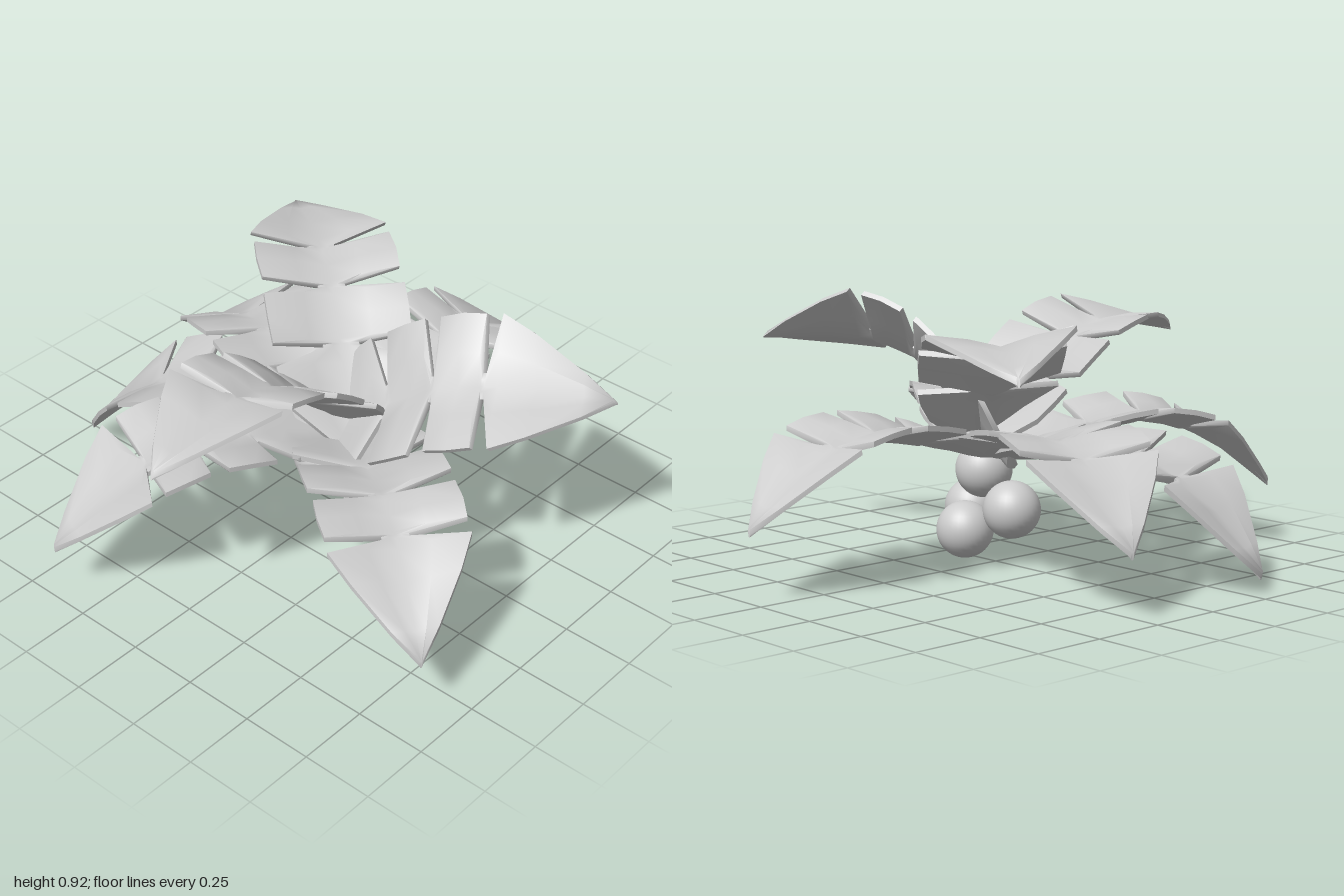
import * as THREE from 'three';
import { toCreasedNormals } from 'three/addons/utils/BufferGeometryUtils.js';

const TIP = new THREE.Vector2(1.04, -0.12); // local leaf tip (length, height)

// Stations along one leaf: spine distance, edge distance, half width, spine height.
// Narrow pairs are the notches.
const STATIONS = [
  [0, 0, 0.05, 0], [0.12, 0.12, 0.19, 0.03], [0.2, 0.19, 0.22, 0.055], [0.27, 0.25, 0.23, 0.072],
  [0.325, 0.32, 0.06, 0.088], [0.335, 0.33, 0.06, 0.088], [0.35, 0.328, 0.23, 0.09],
  [0.43, 0.41, 0.235, 0.107], [0.505, 0.497, 0.235, 0.12],
  [0.525, 0.525, 0.045, 0.125], [0.535, 0.535, 0.045, 0.125], [0.55, 0.56, 0.23, 0.122],
  [0.62, 0.64, 0.235, 0.112], [0.68, 0.715, 0.228, 0.095],
  [0.695, 0.7, 0.045, 0.095], [0.705, 0.71, 0.045, 0.092], [0.745, 0.765, 0.23, 0.075],
  [0.85, 0.85, 0.175, 0.02], [0.97, 0.97, 0.075, -0.068], [1.04, 1.04, 0.005, -0.12],
];

// Points across the leaf: position, rise of the folded halves, half thickness
const ACROSS = [[-1, 1, 0.009], [-0.45, 0.55, 0.016], [0, 0, 0.016], [0.45, 0.55, 0.016], [1, 1, 0.009]];

// Leaf lofted along +x: creased V cross-section with a little thickness
function leafGeometry() {
  const pos = [], idx = [], n = ACROSS.length * 2;
  for (const [s, e, w, h] of STATIONS) {
    const point = ([u, rise, t], sign) => pos.push(
      THREE.MathUtils.lerp(s, e, Math.abs(u)), h + rise * 0.055 * w / 0.23 + sign * t, u * w);
    ACROSS.forEach((p) => point(p, 1));
    ACROSS.toReversed().forEach((p) => point(p, -1));
  }
  const last = (STATIONS.length - 1) * n;
  for (let i = 0; i < last; i += n) {
    for (let j = 0; j < n; j++) {
      const k = (j + 1) % n;
      idx.push(i + j, i + k, i + n + j, i + k, i + n + k, i + n + j);
    }
  }
  // End caps
  for (let j = 1; j < n - 1; j++) {
    idx.push(0, j + 1, j, last, last + j, last + j + 1);
  }
  const g = new THREE.BufferGeometry();
  g.setAttribute('position', new THREE.Float32BufferAttribute(pos, 3));
  g.setIndex(idx);
  g.rotateZ(-TIP.angle()); // lay the root-to-tip line on the x axis
  return toCreasedNormals(g, 1.0);
}

// Stretch a leaf from root to tip, rolled about that line
function placeLeaf(mesh, root, tip, rollDegrees) {
  const a = new THREE.Vector3(...root);
  const along = new THREE.Vector3(...tip).sub(a);
  mesh.scale.setScalar(along.length() / TIP.length());
  along.normalize();
  const side = along.clone().cross(new THREE.Vector3(0, 1, 0)).normalize();
  const up = side.clone().cross(along);
  up.applyAxisAngle(along, THREE.MathUtils.degToRad(rollDegrees));
  side.crossVectors(along, up);
  mesh.quaternion.setFromRotationMatrix(new THREE.Matrix4().makeBasis(along, up, side));
  mesh.position.copy(a);
}

export function createModel() {
  const model = new THREE.Group();
  model.name = 'palmCrown';
  const grey = new THREE.MeshStandardMaterial({ color: 0xcccccc });
  grey.name = 'lightGrey';

  // Leaves: root, tip, roll
  const lowRoot = [0.06, 0.36, 0.04];
  const leaves = {
    lowerLeafBack: [[0.055, 0.36, 0.04], [0.055, 0.23, -1.0], 0],
    lowerLeafRightBack: [lowRoot, [-0.93, 0.21, -0.29], 0],
    lowerLeafRightFront: [[0.05, 0.36, 0.06], [-0.94, 0.06, 0.3], 0],
    lowerLeafFront: [[0.04, 0.36, 0.04], [-0.37, 0.21, 0.995], 0],
    lowerLeafLeftFront: [lowRoot, [0.91, 0.24, 0.65], 0],
    upperLeafFront: [[0.06, 0.39, -0.02], [0.1, 0.74, 0.97], 5],
    upperLeafLeft: [[-0.03, 0.34, 0.04], [0.93, 0.735, -0.28], 33],
    upperLeafRight: [[0.15, 0.37, 0.09], [-0.68, 0.735, -0.53], 3],
  };
  const leafShape = leafGeometry();
  for (const [name, [root, tip, roll]] of Object.entries(leaves)) {
    const leaf = new THREE.Mesh(leafShape, grey);
    leaf.name = name;
    placeLeaf(leaf, root, tip, roll);
    model.add(leaf);
  }

  // Round fruit hanging under the crown
  const fruitShape = new THREE.SphereGeometry(0.1, 32, 20);
  const fruitSpots = [[-0.07, 0.19, 0.01], [0.12, 0.1, -0.035], [0.23, 0.15, 0.1], [0.11, 0.305, 0.045]];
  fruitSpots.forEach((p, i) => {
    const fruit = new THREE.Mesh(fruitShape, grey);
    fruit.name = `coconut${i + 1}`;
    fruit.position.set(...p);
    model.add(fruit);
  });
  return model;
}
